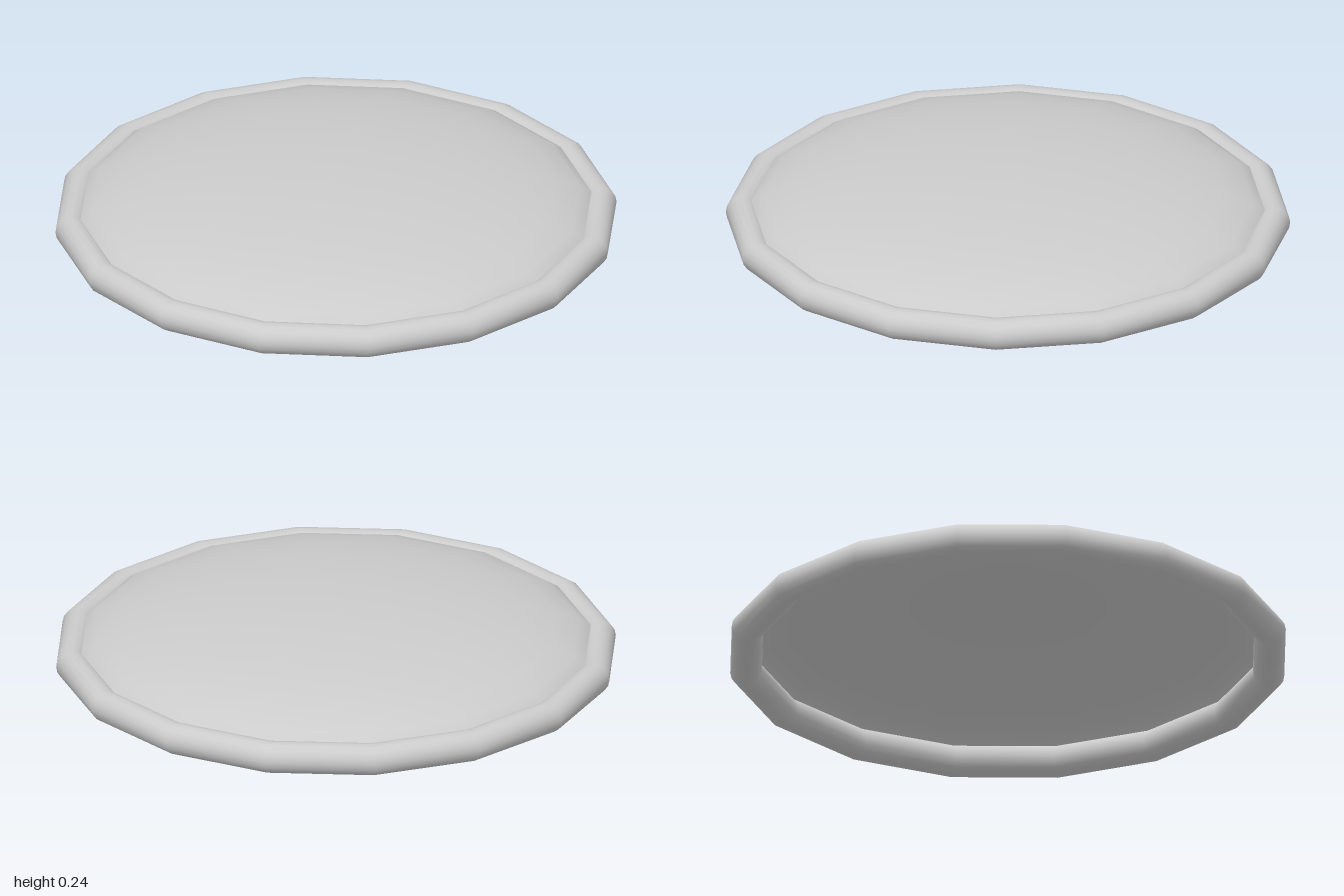
import * as THREE from 'three';

const SIDES = 16;
const TUBE = 0.057;
const RADIUS = 1 - TUBE;
const DOME_HEIGHT = 0.185;

export function createModel() {
  const group = new THREE.Group();
  const material = new THREE.MeshStandardMaterial({ color: 0xcccccc, side: THREE.DoubleSide });

  // Rounded rim lying flat on the ground
  const rim = new THREE.Mesh(new THREE.TorusGeometry(RADIUS, TUBE, 16, SIDES), material);
  rim.name = 'rim';
  rim.rotation.x = -Math.PI / 2;
  rim.position.y = TUBE;
  group.add(rim);

  // Shallow open dome: a flattened half sphere set into the rim
  const domeGeometry = new THREE.SphereGeometry(RADIUS, SIDES, 8, 0, Math.PI * 2, 0, Math.PI / 2);
  domeGeometry.scale(1, DOME_HEIGHT / RADIUS, 1);
  const dome = new THREE.Mesh(domeGeometry, material);
  dome.name = 'dome';
  dome.position.y = TUBE;
  group.add(dome);

  return group;
}
